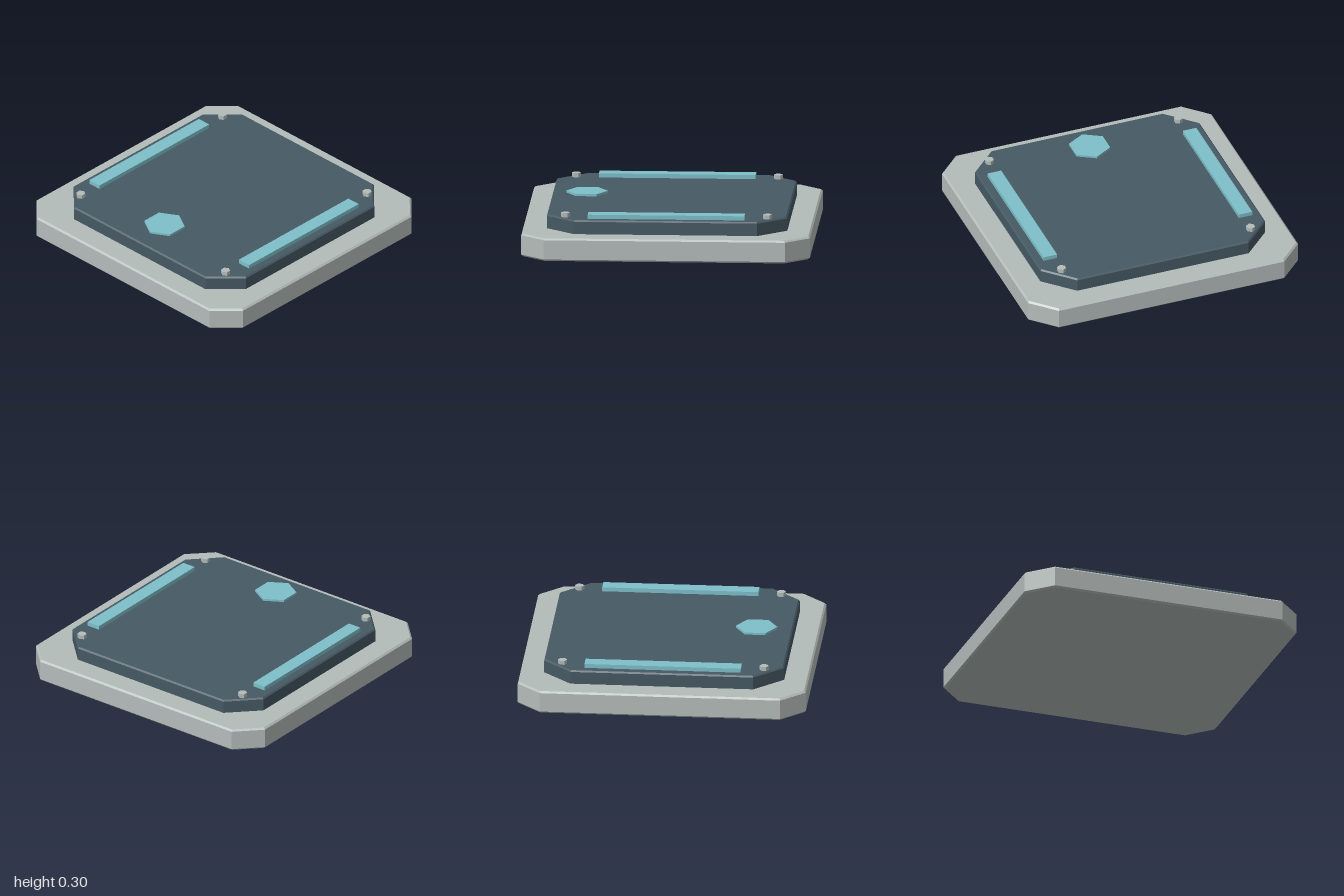
import * as THREE from 'three';

const mat = (name, color) => {
  const m = new THREE.MeshStandardMaterial({ color });
  m.name = name;
  return m;
};

// Square slab with cut corners and a small chamfer along its top and bottom edges
function cutCornerSlab(half, corner, y0, y1, bevel) {
  const h = half - bevel;
  const c = corner - bevel * Math.tan(Math.PI / 8);
  const shape = new THREE.Shape([
    [h, -c], [h, c], [c, h], [-c, h], [-h, c], [-h, -c], [-c, -h], [c, -h],
  ].map(([x, y]) => new THREE.Vector2(x, y)));
  const geometry = new THREE.ExtrudeGeometry(shape, {
    depth: y1 - y0 - 2 * bevel,
    bevelEnabled: true,
    bevelSize: bevel,
    bevelThickness: bevel,
    bevelSegments: 1,
  });
  geometry.rotateX(-Math.PI / 2);
  geometry.translate(0, y0 + bevel, 0);
  return geometry;
}

// Upright hexagonal prism with points along z
function hexPrism(radius, y0, y1) {
  const geometry = new THREE.CylinderGeometry(radius, radius, y1 - y0, 6).toNonIndexed();
  geometry.computeVertexNormals();
  geometry.translate(0, (y0 + y1) / 2, 0);
  return geometry;
}

export function createModel() {
  const model = new THREE.Group();
  model.name = 'floorPad';

  const paleGrey = mat('paleGrey', 0xb4bcba);
  const slate = mat('slate', 0x465963);
  const cyan = mat('cyan', 0x7ec0ca);

  const add = (name, geometry, material, x = 0, y = 0, z = 0) => {
    const mesh = new THREE.Mesh(geometry, material);
    mesh.name = name;
    mesh.position.set(x, y, z);
    model.add(mesh);
  };

  // Stepped slabs
  add('base', cutCornerSlab(1, 0.835, 0, 0.16, 0.012), paleGrey);
  add('topPlate', cutCornerSlab(0.833, 0.635, 0.145, 0.257, 0.01), slate);

  // Light strips and corner bolts
  const strip = new THREE.BoxGeometry(0.1, 0.04, 1.085);
  const bolt = hexPrism(0.032, 0.25, 0.286);
  for (const side of [-1, 1]) {
    add(side > 0 ? 'leftLightStrip' : 'rightLightStrip', strip, cyan, side * 0.723, 0.266, 0);
    for (const end of [-1, 1]) {
      add(`${end > 0 ? 'front' : 'back'}${side > 0 ? 'Left' : 'Right'}Bolt`,
        bolt, paleGrey, side * 0.7, 0, end * 0.7);
    }
  }

  // Raised hexagonal indicator, hovering just above the plate
  add('hexIndicator', hexPrism(0.144, 0.285, 0.3), cyan, 0, 0, 0.588);

  return model;
}
